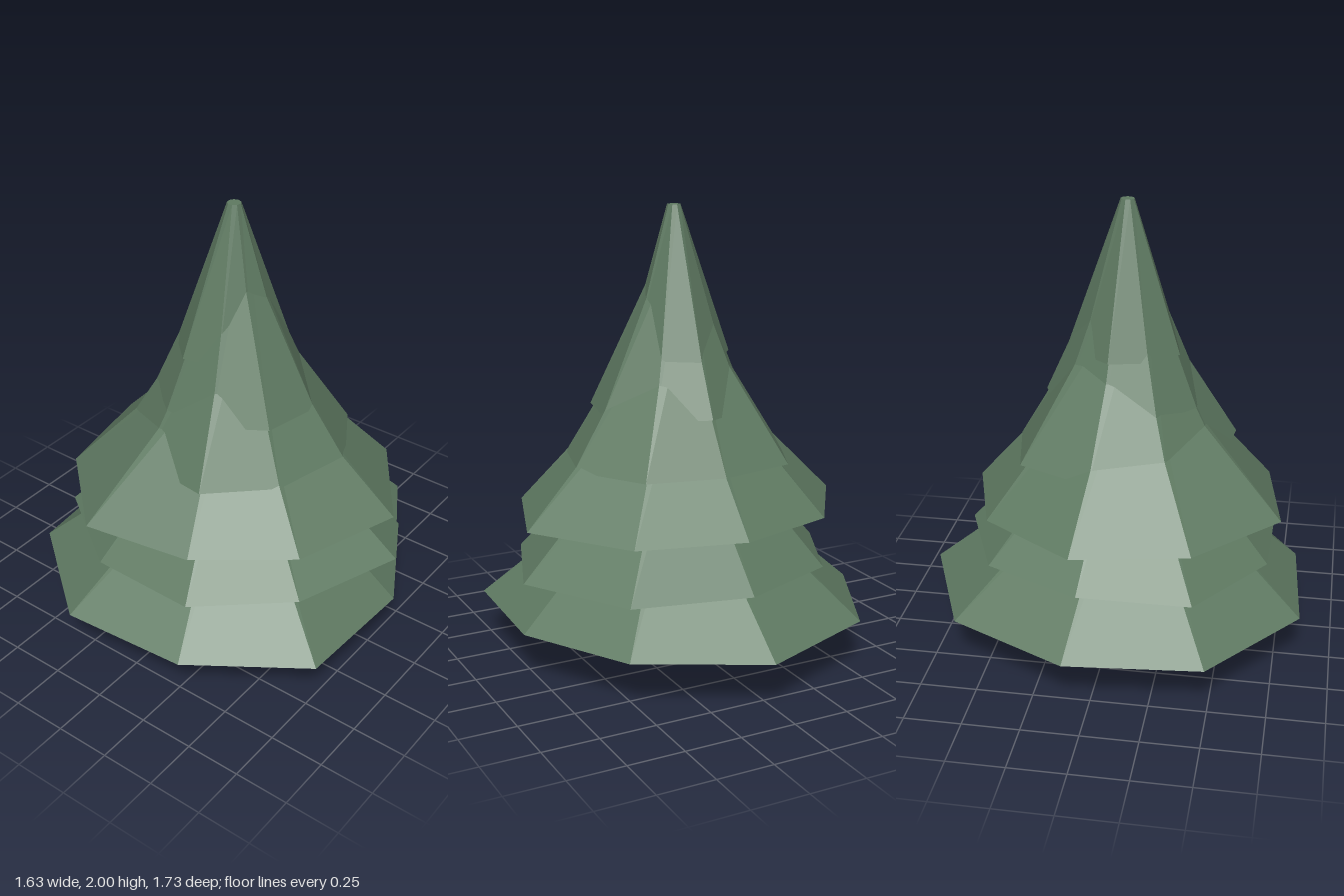
import * as THREE from 'three';

const SIDES = 9;
const STEP = (Math.PI * 2) / SIDES;
const CENTER_X = 0.014;
const CENTER_Z = 0.037;
const TIER_HEIGHT = 0.655;

// Each tier: base height, tip radius, and the corner radii of its uneven rim,
// starting at the back (-z) and turning towards +x.
const TIERS = [
  { y: 0.21, tip: 0.1, rim: [0.907, 0.82, 0.81, 0.89, 0.83, 0.877, 0.9, 0.85, 0.886] },
  { y: 0.44, tip: 0.1, rim: [0.727, 0.8, 0.805, 0.71, 0.717, 0.71, 0.76, 0.67, 0.71] },
  { y: 0.665, tip: 0.1, rim: [0.68, 0.73, 0.78, 0.7, 0.677, 0.765, 0.74, 0.749, 0.71] },
  { y: 0.89, tip: 0.1, rim: [0.483, 0.53, 0.54, 0.49, 0.51, 0.47, 0.49, 0.506, 0.54] },
  { y: 1.115, tip: 0.07, rim: [0.363, 0.35, 0.385, 0.376, 0.34, 0.345, 0.353, 0.335, 0.34] },
  { y: 1.345, tip: 0.03, rim: [0.26, 0.25, 0.23, 0.21, 0.23, 0.26, 0.25, 0.255, 0.23] },
];

// A nine-sided cone whose bottom corners are pushed in or out
function tierGeometry({ tip, rim }) {
  const geometry = new THREE.CylinderGeometry(tip, 1, TIER_HEIGHT, SIDES, 1, false, Math.PI);
  geometry.translate(0, TIER_HEIGHT / 2, 0);
  const pos = geometry.attributes.position;
  for (let i = 0; i < pos.count; i++) {
    if (pos.getY(i) > TIER_HEIGHT / 2) continue;
    const x = pos.getX(i), z = pos.getZ(i);
    const corner = (Math.round(Math.atan2(x, -z) / STEP) + SIDES) % SIDES;
    pos.setX(i, x * rim[corner]);
    pos.setZ(i, z * rim[corner]);
  }
  geometry.computeVertexNormals();
  return geometry;
}

export function createModel() {
  const tree = new THREE.Group();
  tree.name = 'pineTree';

  const needles = new THREE.MeshStandardMaterial({ color: 0x5f7a62, flatShading: true });
  const bark = new THREE.MeshStandardMaterial({ color: 0x8a7866, flatShading: true });

  // Overlapping foliage skirts
  const foliage = new THREE.Group();
  foliage.name = 'foliage';
  TIERS.forEach((tier, i) => {
    const mesh = new THREE.Mesh(tierGeometry(tier), needles);
    mesh.name = `foliageTier${i + 1}`;
    mesh.position.set(CENTER_X, tier.y, CENTER_Z);
    foliage.add(mesh);
  });
  tree.add(foliage);

  // Short six-sided trunk, running up into the lowest tier
  const trunk = new THREE.Mesh(new THREE.CylinderGeometry(0.11, 0.118, 0.3, 6), bark);
  trunk.name = 'trunk';
  trunk.position.set(0.026, 0.15, 0.057);
  tree.add(trunk);

  return tree;
}
